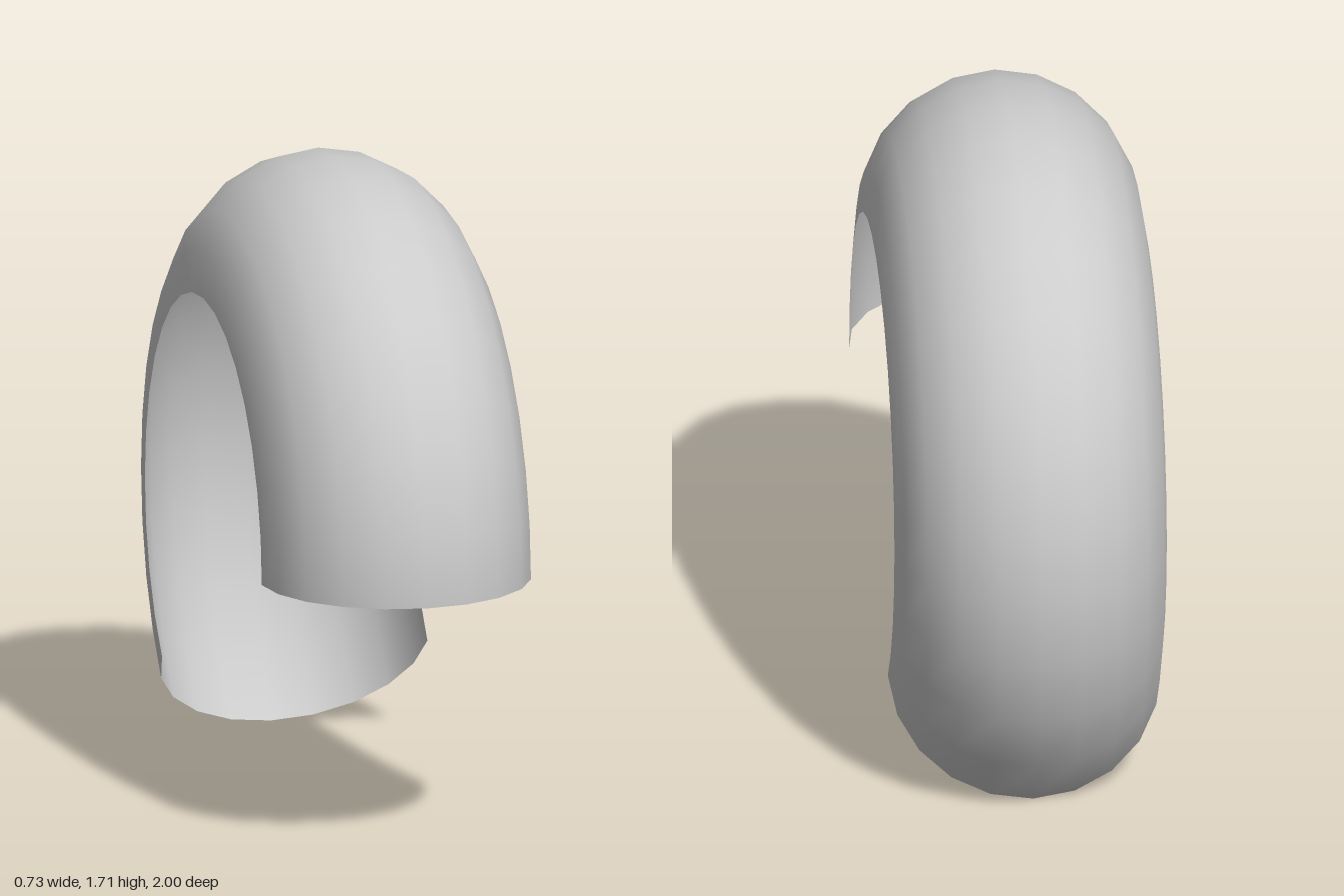
import * as THREE from 'three';

const TUBE = 0.364;                 // radius of the half-round section
const RING = 1 - TUBE;              // radius of the open rim
const SWEEP = THREE.MathUtils.degToRad(225);

export function createModel() {
  const group = new THREE.Group();
  group.name = 'wheelFender';

  // Half-round section, open towards the wheel
  const profile = [];
  for (let i = 0; i <= 10; i++) {
    const a = -Math.PI / 2 + (i / 10) * Math.PI;
    profile.push(new THREE.Vector2(RING + TUBE * Math.cos(a), TUBE * Math.sin(a)));
  }

  // Swept from the front, over the top, to the low rear end
  const geometry = new THREE.LatheGeometry(profile, 20, 0, SWEEP);
  geometry.rotateZ(Math.PI / 2);
  geometry.translate(0, Math.SQRT1_2, 0);

  const material = new THREE.MeshStandardMaterial({ color: 0xcccccc, side: THREE.DoubleSide });
  const shell = new THREE.Mesh(geometry, material);
  shell.name = 'fenderShell';
  group.add(shell);
  return group;
}
